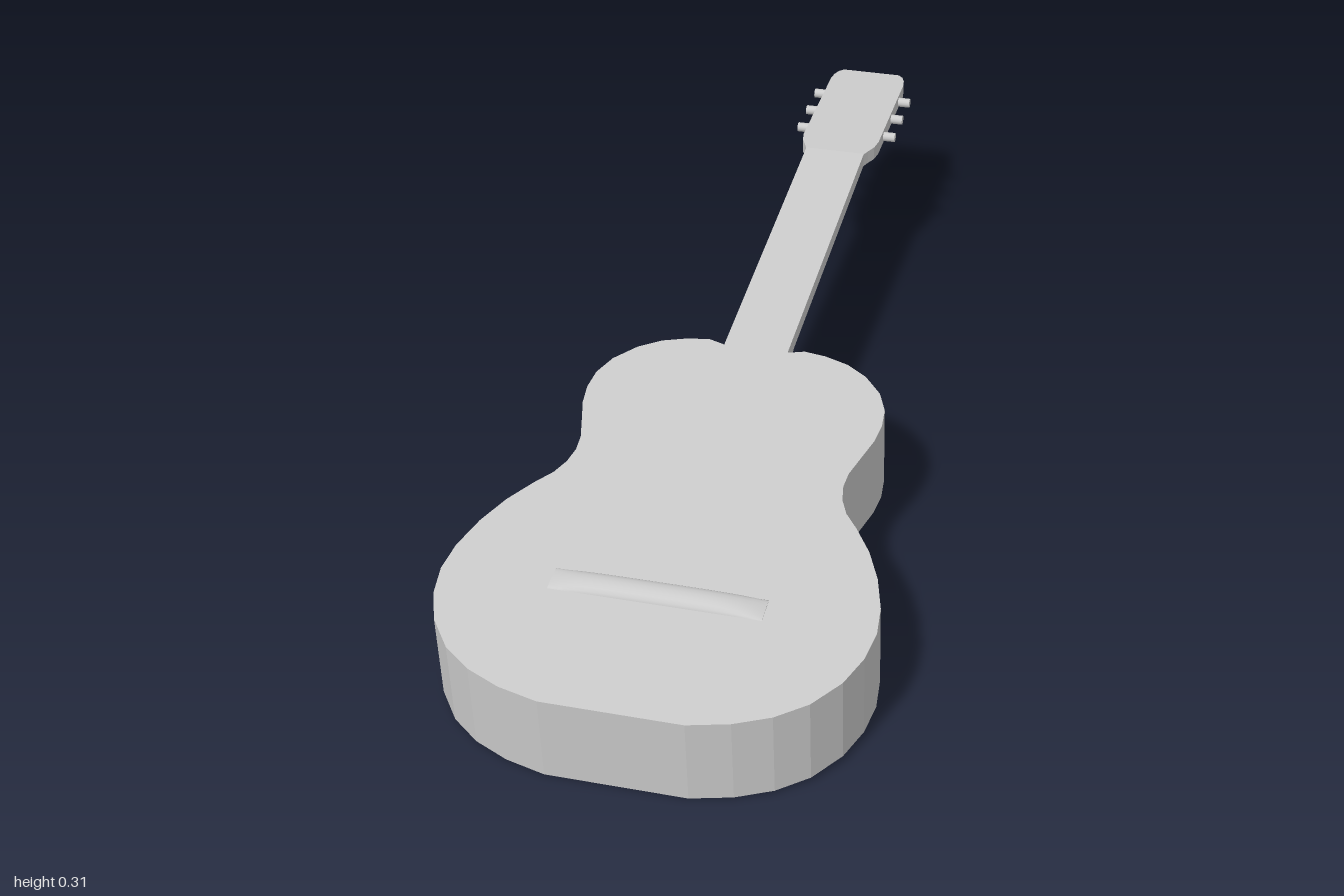
import * as THREE from 'three';

const TILT = THREE.MathUtils.degToRad(5);
const HOLE_Z = 0.367, HOLE_R = 0.103;

// Half outlines as [x, z], mirrored across x = 0
const BODY = [
  [0.12, 1.003], [0.19, 0.985], [0.25, 0.957], [0.30, 0.917], [0.34, 0.86], [0.362, 0.80],
  [0.37, 0.74], [0.364, 0.68], [0.345, 0.612], [0.318, 0.55], [0.285, 0.497], [0.26, 0.463],
  [0.246, 0.43], [0.24, 0.395], [0.242, 0.36], [0.255, 0.31], [0.267, 0.265], [0.272, 0.22],
  [0.268, 0.175], [0.25, 0.13], [0.215, 0.087], [0.175, 0.059], [0.13, 0.043], [0.09, 0.037], [0.06, 0.047],
];
const HEAD = [
  [0.06, -0.63], [0.066, -0.645], [0.075, -0.665], [0.079, -0.69],
  [0.079, -0.955], [0.076, -0.975], [0.07, -0.99], [0.06, -1],
];

function mirroredShape(half) {
  const other = half.map(([x, z]) => [-x, z]).reverse();
  return new THREE.Shape([...half, ...other].map(([x, z]) => new THREE.Vector2(x, z)));
}

// Slab lying flat with its upper face at the given height
function slab(shape, depth, top) {
  const geo = new THREE.ExtrudeGeometry(shape, { depth, bevelEnabled: false, curveSegments: 20 });
  return geo.rotateX(Math.PI / 2).translate(0, top, 0);
}

export function createModel() {
  const model = new THREE.Group();
  model.name = 'guitar';
  const grey = new THREE.MeshStandardMaterial({ color: 0xcccccc });
  grey.name = 'plain grey';

  const add = (parent, name, geo) => {
    const mesh = new THREE.Mesh(geo, grey);
    mesh.name = name;
    parent.add(mesh);
    return mesh;
  };

  // Body and neck lean back together
  const leaning = new THREE.Group();
  leaning.name = 'bodyAndNeck';
  leaning.rotation.x = TILT;
  leaning.position.y = 0.252;
  model.add(leaning);

  // Upper body with the sound hole, closed by the lower body
  const front = mirroredShape(BODY);
  front.holes.push(new THREE.Path().absarc(0, HOLE_Z, HOLE_R, 0, Math.PI * 2, true));
  add(leaning, 'upperBody', slab(front, 0.11, 0));
  add(leaning, 'lowerBody', slab(mirroredShape(BODY), 0.055, -0.11));

  // Neck side profile with a curved heel
  const profile = new THREE.Shape();
  profile.moveTo(0.06, 0);
  profile.lineTo(-0.634, 0);
  profile.lineTo(-0.634, -0.027);
  profile.lineTo(-0.01, -0.027);
  profile.quadraticCurveTo(0.03, -0.03, 0.043, -0.06);
  profile.lineTo(0.06, -0.06);
  const neck = new THREE.ExtrudeGeometry(profile, { depth: 0.12, bevelEnabled: false, curveSegments: 8 });
  add(leaning, 'neck', neck.rotateY(-Math.PI / 2).translate(0.06, 0, 0));

  // Bridge: a low bar whose top slopes down to its ends
  const bridge = new THREE.CylinderGeometry(0.025, 0.025, 0.364, 16, 16).rotateZ(Math.PI / 2);
  const p = bridge.attributes.position;
  for (let i = 0; i < p.count; i++) {
    const t = Math.abs(p.getX(i)) / 0.182;
    p.setY(i, p.getY(i) * 0.56 * (1 - 0.9 * t ** 4));
  }
  bridge.computeVertexNormals();
  add(leaning, 'bridge', bridge.translate(0, 0, 0.725));

  // Level headstock with three pegs on each side
  add(model, 'headstock', slab(mirroredShape(HEAD), 0.027, 0.307));
  for (const side of [-1, 1]) {
    for (const z of [-0.745, -0.825, -0.905]) {
      const peg = add(model, side > 0 ? 'leftPeg' : 'rightPeg',
        new THREE.CylinderGeometry(0.0095, 0.0095, 0.034, 12).rotateZ(Math.PI / 2));
      peg.position.set(side * 0.086, 0.292, z);
    }
  }
  return model;
}
